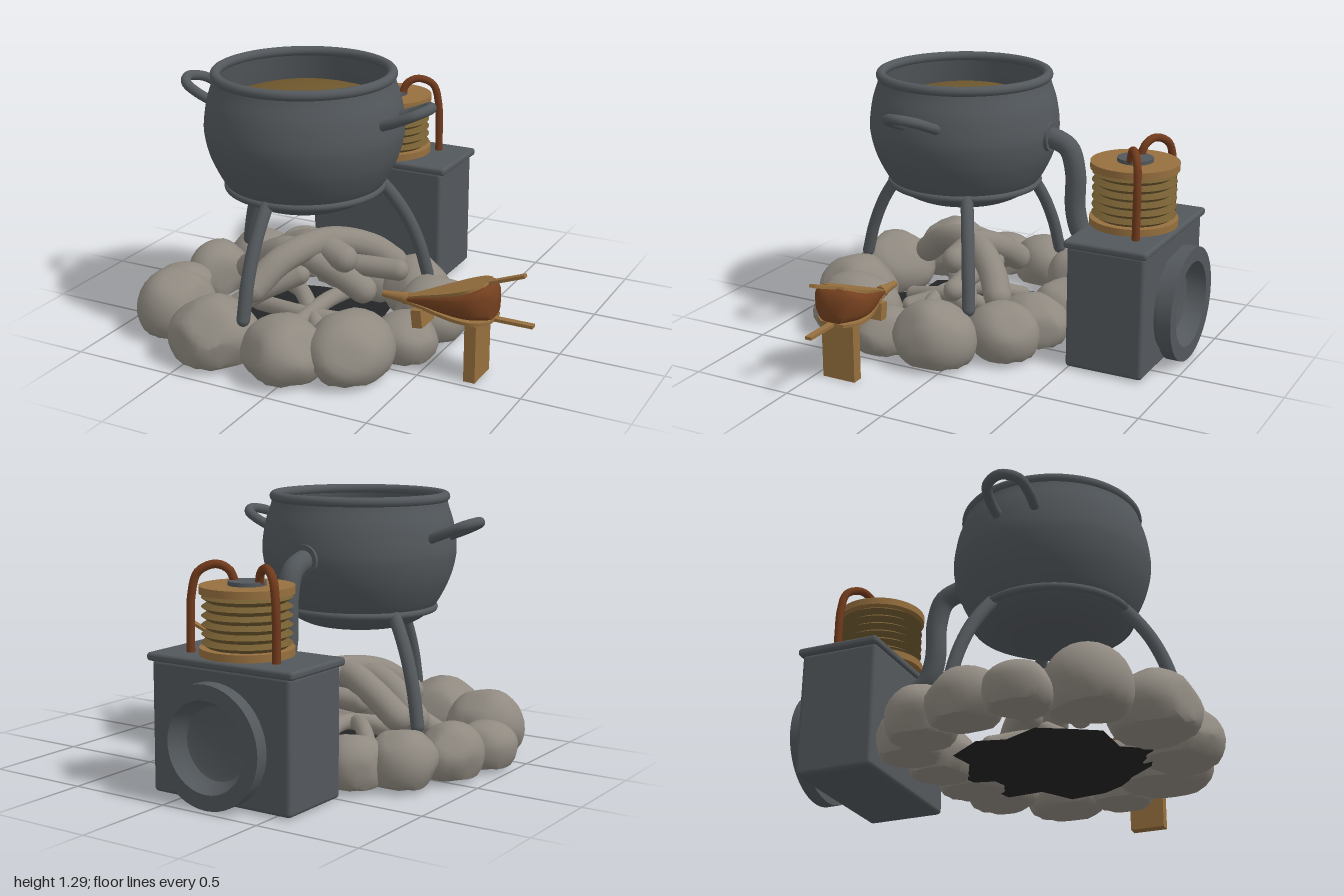
import * as THREE from 'three';
import { toCreasedNormals } from 'three/addons/utils/BufferGeometryUtils.js';
import { RoundedBoxGeometry } from 'three/addons/geometries/RoundedBoxGeometry.js';

const CX = -0.211, CZ = 0.24; // centre of the pot and fire ring

function mat(name, color, side = THREE.FrontSide) {
  const m = new THREE.MeshStandardMaterial({ color, side });
  m.name = name;
  return m;
}
const V = (p) => new THREE.Vector3(...p);

function seeded(seed) {
  let s = seed;
  return () => (s = (s * 16807) % 2147483647) / 2147483647;
}

export function createModel() {
  const root = new THREE.Group();
  const iron = mat('iron', 0x53585c, THREE.DoubleSide);
  const stone = mat('stone', 0x908a81);
  const bark = mat('log bark', 0x8f8980);
  const wood = mat('wood', 0x966f3e);
  const leather = mat('leather', 0x74401f, THREE.DoubleSide);
  const copper = mat('copper', 0x713a1c);
  const pleat = mat('pleated cloth', 0x735c31);
  const broth = mat('broth', 0x6e572d);
  const ash = mat('ash', 0x232425, THREE.DoubleSide);

  function add(name, geo, m, pos = [0, 0, 0], parent = root) {
    const mesh = new THREE.Mesh(geo, m);
    mesh.name = name;
    mesh.position.set(...pos);
    parent.add(mesh);
    return mesh;
  }
  const lathe = (pts, crease = 0.6, seg = 48) =>
    toCreasedNormals(new THREE.LatheGeometry(pts.map((p) => new THREE.Vector2(...p)), seg), crease);

  // Round tube through points, closed by ball ends
  function tube(name, pts, r, m, parent = root) {
    const g = new THREE.Group();
    g.name = name;
    const curve = new THREE.CatmullRomCurve3(pts.map(V));
    add(name + 'Run', new THREE.TubeGeometry(curve, 32, r, 14), m, [0, 0, 0], g);
    for (const p of [pts[0], pts[pts.length - 1]])
      add(name + 'End', new THREE.SphereGeometry(r, 14, 8), m, p, g).scale.setScalar(0.99);
    parent.add(g);
    return g;
  }

  // Cauldron
  const pot = new THREE.Group();
  pot.name = 'cauldron';
  pot.position.set(CX, 0, CZ);
  root.add(pot);
  const profile = new THREE.SplineCurve([[0, 0.637], [0.14, 0.639], [0.22, 0.647], [0.28, 0.668], [0.33, 0.7], [0.362, 0.735],
    [0.398, 0.79], [0.44, 0.88], [0.463, 0.97], [0.466, 1.04], [0.451, 1.14], [0.426, 1.22], [0.415, 1.265]]
    .map((p) => new THREE.Vector2(...p))).getPoints(48);
  profile.push(new THREE.Vector2(0.39, 1.265), new THREE.Vector2(0.4, 1.2), new THREE.Vector2(0.42, 1.1));
  add('potBody', toCreasedNormals(new THREE.LatheGeometry(profile, 64), 0.7), iron, [0, 0, 0], pot);
  const ring = (name, r, t, y) =>
    add(name, new THREE.TorusGeometry(r, t, 14, 64).rotateX(Math.PI / 2), iron, [0, y, 0], pot);
  ring('rim', 0.408, 0.024, 1.263);
  ring('lowerBand', 0.364, 0.018, 0.732);
  const surface = [];
  for (let i = 0; i <= 8; i++) surface.push([0.425 * (1 - i / 8), 1.2 - 0.09 * (1 - i / 8) ** 2]);
  add('broth', lathe(surface, 1), broth, [0, 0, 0], pot);

  // Three legs splayed around the pot
  for (let i = 0; i < 3; i++)
    tube('leg', [[0, 0.74, 0.345], [0, 0.66, 0.41], [0, 0.55, 0.48], [0, 0.41, 0.54], [0, 0.255, 0.582]],
      0.031, iron, pot).rotation.y = (i * Math.PI * 2) / 3;

  // Loop handles
  for (const s of [1, -1])
    tube('handle', [[s * 0.43, 1.085, -0.09], [s * 0.52, 1.12, -0.095], [s * 0.6, 1.155, -0.075], [s * 0.637, 1.17, 0],
      [s * 0.6, 1.155, 0.075], [s * 0.52, 1.12, 0.095], [s * 0.43, 1.085, 0.09]], 0.024, iron, pot);

  // Feed pipe from the stove to the pot
  tube('feedPipe', [[CX, 1, -0.2], [CX, 0.99, -0.26], [CX, 0.955, -0.325], [CX, 0.845, -0.36], [CX, 0.65, -0.365],
    [CX, 0.535, -0.405], [CX, 0.477, -0.5]], 0.051, iron);
  add('pipeCollar', new THREE.CylinderGeometry(0.07, 0.07, 0.04, 32).rotateX(Math.PI / 2), iron, [CX, 1, -0.217]);

  // Stove box with a round vent on the back
  add('stoveBody', new RoundedBoxGeometry(0.74, 0.6, 0.385, 3, 0.02), iron, [CX, 0.305, -0.68]);
  add('stoveTop', new RoundedBoxGeometry(0.78, 0.038, 0.41, 3, 0.015), iron, [CX, 0.616, -0.682]);
  add('vent', lathe([[0.235, 0.865], [0.235, 0.905], [0.275, 0.905], [0.275, 0.97], [0.205, 0.97], [0.19, 0.915],
    [0.165, 0.885], [0.14, 0.879], [0, 0.878]], 0.6).rotateX(-Math.PI / 2), iron, [CX, 0.278, 0]);

  // Pleated air drum on top of the stove
  const drum = new THREE.Group();
  drum.name = 'airDrum';
  drum.position.set(CX, 0, -0.665);
  root.add(drum);
  for (const y of [0.652, 0.922])
    add('drumPlate', new THREE.CylinderGeometry(0.21, 0.21, 0.034, 48), wood, [0, y, 0], drum);
  const folds = [];
  for (let i = 0; i <= 12; i++) folds.push([i % 2 ? 0.2 : 0.17, 0.667 + (i * 0.24) / 12]);
  add('pleats', lathe(folds, 0.5), pleat, [0, 0, 0], drum);
  add('hub', new THREE.CylinderGeometry(0.085, 0.085, 0.02, 32), iron, [0, 0.947, 0], drum);
  for (const s of [1, -1])
    tube('copperPipe', [[s * 0.065, 0.945, 0], [s * 0.085, 1.0, -0.015], [s * 0.135, 1.025, -0.045],
      [s * 0.2, 0.99, -0.088], [s * 0.225, 0.89, -0.103], [s * 0.23, 0.76, -0.105], [s * 0.23, 0.635, -0.105]],
      0.019, copper, drum);

  // Hand bellows: leaf-shaped boards around a leather bag
  const hand = new THREE.Group();
  hand.name = 'handBellows';
  hand.position.set(0.38, 0.285, 0.37);
  root.add(hand);
  const half = new THREE.SplineCurve([[0, 0.022], [0.1, 0.05], [0.2, 0.09], [0.3, 0.118], [0.38, 0.113], [0.435, 0.065]]
    .map((p) => new THREE.Vector2(...p))).getPoints(20);
  function board(name, len, k, tilt, y) {
    const pts = half.map((p) => new THREE.Vector2(p.x, p.y * k));
    const h = 0.016;
    const outline = [...pts, new THREE.Vector2(0.44, h), new THREE.Vector2(len, h)];
    const mirror = outline.map((p) => new THREE.Vector2(p.x, -p.y)).reverse();
    const geo = new THREE.ExtrudeGeometry(new THREE.Shape([...outline, ...mirror]), { depth: 0.015, bevelEnabled: false });
    add(name, geo.rotateX(-Math.PI / 2), wood, [0, y, 0], hand).rotation.z = tilt;
  }
  board('lowerBoard', 0.62, 0.95, 0, 0);
  board('upperBoard', 0.615, 0.82, 0.36, 0.015);
  const N = 24, verts = [], idx = [];
  const loops = [...half, new THREE.Vector2(0.445, 0)];
  loops.forEach((p, i) => {
    const height = 0.012 + p.x * 0.37 - Math.max(0, p.x - 0.41) * 1.3;
    for (let j = 0; j < N; j++) {
      const a = (j / N) * Math.PI * 2, c = Math.cos(a), s = Math.sin(a);
      const flat = i === loops.length - 1 ? 0 : 1;
      verts.push(p.x, 0.014 + height / 2 + (flat * Math.sign(s) * Math.sqrt(Math.abs(s)) * height) / 2,
        Math.sign(c) * Math.pow(Math.abs(c), 0.6) * p.y * 1.08);
      const n = (j + 1) % N;
      if (i) idx.push((i - 1) * N + j, i * N + j, i * N + n, (i - 1) * N + j, i * N + n, (i - 1) * N + n);
    }
  });
  const bag = new THREE.BufferGeometry();
  bag.setAttribute('position', new THREE.Float32BufferAttribute(verts, 3));
  bag.setIndex(idx.reverse());
  add('leatherBag', toCreasedNormals(bag, 0.8), leather, [0, 0, 0], hand);
  add('nozzle', new THREE.CylinderGeometry(0.026, 0.015, 0.13, 20).rotateZ(-Math.PI / 2), wood, [-0.05, 0.02, 0], hand);
  add('nozzleCollar', new THREE.CylinderGeometry(0.029, 0.029, 0.025, 20).rotateZ(Math.PI / 2), wood, [0.005, 0.02, 0], hand);

  // Stands under the hand bellows
  add('rearStand', new THREE.BoxGeometry(0.055, 0.275, 0.17), wood, [0.737, 0.1375, 0.375]);
  add('frontStand', new THREE.BoxGeometry(0.05, 0.085, 0.13), wood, [0.465, 0.243, 0.375]).rotation.z = 0.12;

  // Ring of stones: x, z, half width, half depth, top
  const rand = seeded(71);
  const stones = [[-0.54, -0.31, 0.14, 0.15, 0.25], [-0.71, -0.17, 0.155, 0.16, 0.27], [-0.82, 0.08, 0.14, 0.17, 0.26],
    [-0.86, 0.34, 0.145, 0.15, 0.22], [-0.73, 0.59, 0.185, 0.185, 0.31], [-0.4, 0.77, 0.21, 0.2, 0.3],
    [-0.03, 0.77, 0.195, 0.195, 0.28], [0.22, 0.62, 0.195, 0.225, 0.29], [0.38, 0.36, 0.145, 0.155, 0.22],
    [0.39, 0.08, 0.17, 0.2, 0.3], [0.18, -0.17, 0.155, 0.175, 0.27], [-0.04, -0.23, 0.15, 0.17, 0.25],
    [-0.29, -0.28, 0.145, 0.155, 0.25]];
  for (const [x, z, rx, rz, top] of stones) {
    const geo = new THREE.IcosahedronGeometry(1.05, 4);
    const pos = geo.attributes.position, p = new THREE.Vector3();
    const cuts = [];
    for (let i = 0; i < 10; i++)
      cuts.push([new THREE.Vector3(rand() - 0.5, rand() * 0.8 - 0.3, rand() - 0.5).normalize(), 0.87 + rand() * 0.12]);
    for (let i = 0; i < pos.count; i++) {
      p.fromBufferAttribute(pos, i);
      for (const [n, d] of cuts) {
        const over = p.dot(n) - d;
        if (over > 0) p.addScaledVector(n, -over * 0.82);
      }
      const y = 0.12 + p.y * (p.y > 0 ? top - 0.12 : 0.17);
      pos.setXYZ(i, p.x * rx, Math.max(0.02, y), p.z * rz);
    }
    add('stone', toCreasedNormals(geo, 0.7), stone, [x, 0, z]);
  }

  // Ash bed
  const bed = new THREE.ConeGeometry(0.46, 0.03, 18, 1, true).toNonIndexed();
  const bp = bed.attributes.position;
  for (let i = 0; i < bp.count; i++) {
    const a = Math.atan2(bp.getZ(i), bp.getX(i));
    const k = 0.92 + 0.08 * Math.sin(a * 5 + 1) + 0.04 * Math.cos(a * 8);
    bp.setXYZ(i, bp.getX(i) * k, bp.getY(i) + 0.01 * Math.sin(a * 9), bp.getZ(i) * k);
  }
  bed.computeVertexNormals();
  add('ashBed', bed, ash, [CX, 0.04, CZ]);

  // Crossed logs, with thinner sticks low in the ash
  const logs = [
    [[-0.34, 0.27, 0.53], [-0.26, 0.38, 0.38], [-0.14, 0.415, 0.15], [0, 0.35, -0.02], [0.09, 0.26, -0.1]],
    [[-0.56, 0.22, 0.2], [-0.43, 0.32, 0.24], [-0.28, 0.38, 0.26], [-0.1, 0.3, 0.2], [0.03, 0.18, 0.12]],
    [[-0.52, 0.24, 0.1], [-0.36, 0.34, 0.13], [-0.2, 0.4, 0.17], [-0.03, 0.36, 0.2]],
    [[-0.3, 0.28, 0.12], [-0.02, 0.3, 0.11], [0.2, 0.3, 0.08]],
    [[-0.52, 0.1, 0.48], [-0.38, 0.2, 0.4], [-0.22, 0.28, 0.3]],
    [[-0.45, 0.09, 0.3], [-0.15, 0.11, 0.36], [0.1, 0.09, 0.3]],
    [[-0.16, 0.08, 0.52], [-0.12, 0.13, 0.25], [-0.14, 0.08, -0.04]],
    [[-0.42, 0.08, 0.02], [-0.26, 0.14, 0.2], [-0.02, 0.08, 0.46]],
  ];
  logs.forEach((l, i) => tube('log', l, i < 3 ? 0.068 : i < 5 ? 0.052 : 0.04, bark));

  return root;
}
